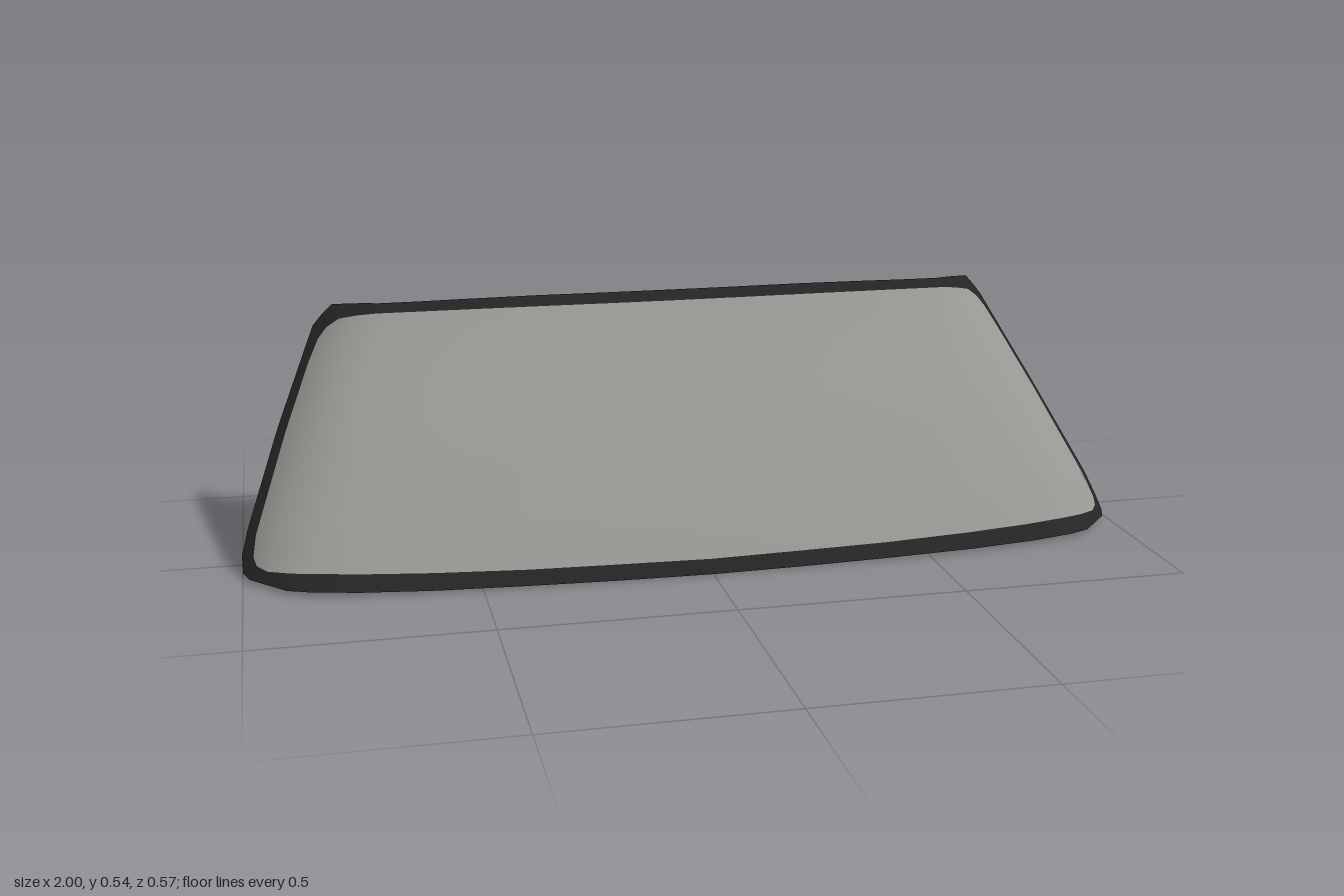
import * as THREE from 'three';

// Piecewise-linear lookup in a list of [key, value] pairs
function lookup(table, k) {
  let i = 1;
  while (i < table.length - 1 && k > table[i][0]) i++;
  const [a, va] = table[i - 1], [b, vb] = table[i];
  return va + (vb - va) * (k - a) / (b - a);
}

// Raked centre line (y -> z), half width (y -> x) and sideways wrap (u -> setback)
const RAKE = [[0, 0.283], [0.085, 0.22], [0.27, 0.07], [0.455, -0.098], [0.54, -0.168]];
const HALF_WIDTH = [[0, 1.013], [0.037, 1], [0.085, 0.985], [0.27, 0.908], [0.46, 0.82], [0.54, 0.78]];
const WRAP = [[0, 0], [0.2, 0.002], [0.4, 0.006], [0.6, 0.015], [0.75, 0.03], [0.85, 0.051],
  [0.9, 0.072], [0.95, 0.112], [0.98, 0.165], [1, 0.21]];

// Point on the curved screen; u runs -1..1 across, y is the height
function surface([u, y]) {
  const flatten = 1 - 0.9 * Math.max(0, y - 0.27);
  return [u * lookup(HALF_WIDTH, y), y, lookup(RAKE, y) - lookup(WRAP, Math.abs(u)) * flatten];
}

// Half outlines as columns of [u, bottom y, top y], from the centre to the side
const INNER = [[0, 0.028, 0.518], [0.2, 0.03, 0.518], [0.4, 0.032, 0.518], [0.6, 0.036, 0.517],
  [0.75, 0.039, 0.515], [0.85, 0.04, 0.512], [0.9, 0.038, 0.507], [0.945, 0.034, 0.497],
  [0.968, 0.035, 0.475], [0.978, 0.047, 0.45], [0.982, 0.085, 0.4]];
const OUTER = [[0, 0, 0.54], [0.2, 0.001, 0.54], [0.4, 0.003, 0.54], [0.6, 0.005, 0.538],
  [0.75, 0.007, 0.535], [0.85, 0.008, 0.532], [0.9, 0.008, 0.531], [0.975, 0.008, 0.52],
  [0.99, 0.012, 0.495], [1, 0.037, 0.47], [1, 0.085, 0.43]];
const ROWS = 10;

// Full grid of columns, mirrored about the centre
function makeColumns(half) {
  const mirrored = half.slice(1).reverse().map(([u, b, t]) => [-u, b, t]);
  return [...mirrored, ...half].map(([u, b, t]) =>
    Array.from({ length: ROWS + 1 }, (_, r) => [u, b + (t - b) * r / ROWS]));
}

// Closed boundary of a grid of columns, anticlockwise from the front
function boundary(cols) {
  const last = cols[cols.length - 1];
  return [
    ...cols.map(c => c[0]),
    ...last.slice(1, ROWS),
    ...cols.map(c => c[ROWS]).reverse(),
    ...cols[0].slice(1, ROWS).reverse(),
    cols[0][0],
  ];
}

// Skin between neighbouring lines of points
function skin(lines) {
  const n = lines[0].length, index = [];
  for (let i = 0; i < lines.length - 1; i++) {
    for (let j = 0; j < n - 1; j++) {
      const a = i * n + j, b = a + n;
      index.push(a, b, b + 1, a, b + 1, a + 1);
    }
  }
  const g = new THREE.BufferGeometry();
  g.setAttribute('position', new THREE.Float32BufferAttribute(lines.flat().flatMap(surface), 3));
  g.setIndex(index);
  g.computeVertexNormals();
  return g;
}

export function createModel() {
  const glass = new THREE.MeshStandardMaterial({ color: 0x969893, side: THREE.DoubleSide });
  glass.name = 'grey glass';
  const black = new THREE.MeshStandardMaterial({ color: 0x252525, side: THREE.DoubleSide });
  black.name = 'black border';

  const inner = makeColumns(INNER), outer = makeColumns(OUTER);
  const group = new THREE.Group();
  group.name = 'windscreen';

  // Curved pane
  const pane = new THREE.Mesh(skin(inner), glass);
  pane.name = 'glassPane';

  // Dark band around the pane
  const band = new THREE.Mesh(skin([boundary(inner), boundary(outer)]), black);
  band.name = 'borderBand';

  group.add(pane, band);
  return group;
}
